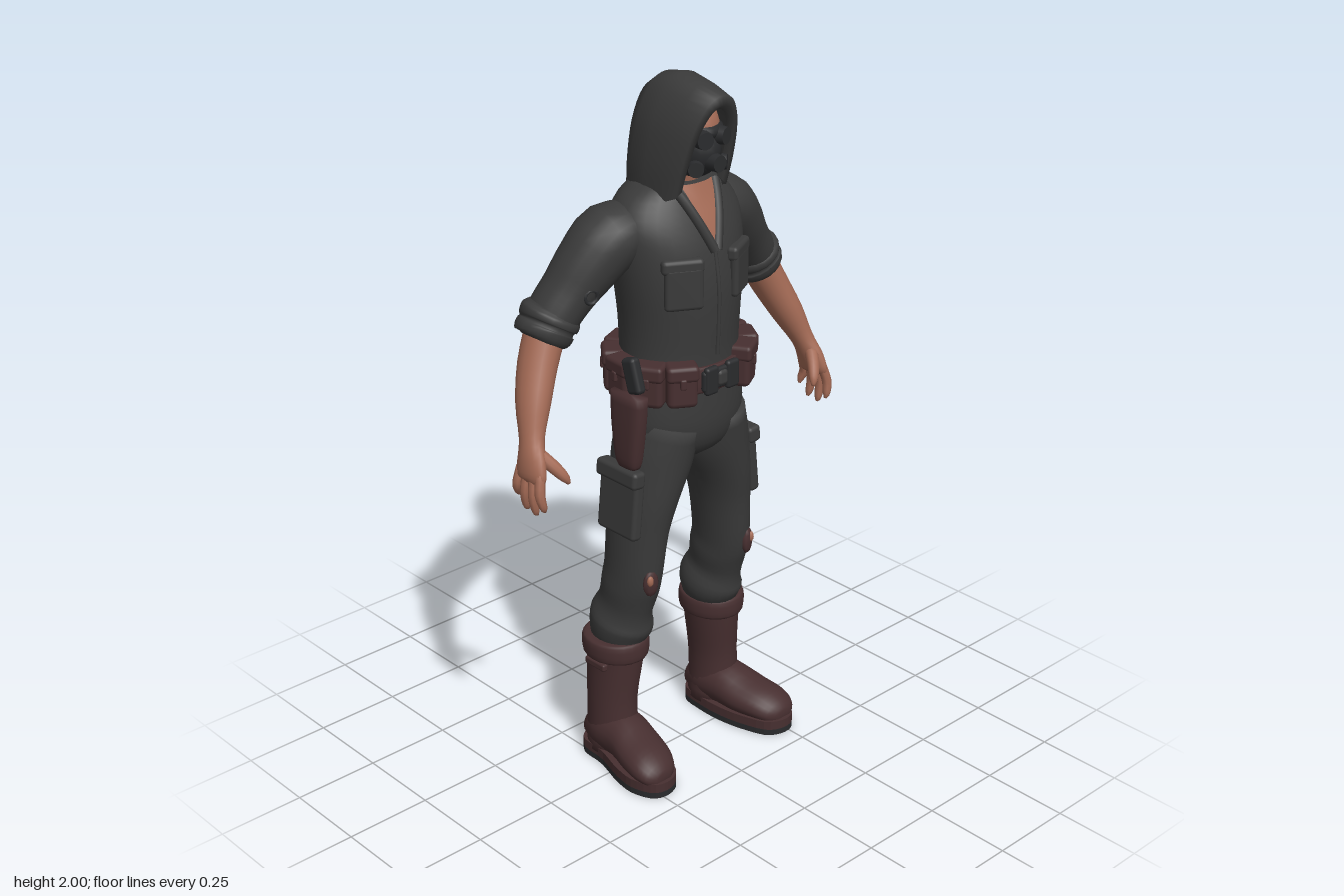
import * as THREE from 'three';
import { RoundedBoxGeometry } from 'three/addons/geometries/RoundedBoxGeometry.js';

const V = (x, y, z) => new THREE.Vector3(x, y, z);
const X = V(1, 0, 0), Y = V(0, 1, 0), Z = V(0, 0, 1);

const mat = (name, color) => new THREE.MeshStandardMaterial({ name, color, side: THREE.DoubleSide });

// Grid of (rows x cols) points to an indexed surface
function grid(rows, cols, fn, wrap = false) {
  const pos = [], idx = [];
  for (let i = 0; i < rows; i++) for (let j = 0; j < cols; j++) pos.push(...fn(i, j).toArray());
  for (let i = 0; i < rows - 1; i++) for (let j = 0; j < (wrap ? cols : cols - 1); j++) {
    const a = i * cols + j, b = i * cols + (j + 1) % cols, c = a + cols, d = b + cols;
    idx.push(a, b, c, b, d, c);
  }
  return { pos, idx };
}
function toGeometry({ pos, idx }) {
  const g = new THREE.BufferGeometry();
  g.setAttribute('position', new THREE.Float32BufferAttribute(pos, 3));
  g.setIndex(idx);
  g.computeVertexNormals();
  return g;
}

// Closed loft through elliptical rings [x, y, z, sideRadius, refRadius]
function loft(rows, { seg = 20, ref = Z, sub = 3, dir = null, p = 1 } = {}) {
  const path = new THREE.CatmullRomCurve3(rows.map(r => V(r[0], r[1], r[2])), false, 'catmullrom');
  const rad = new THREE.CatmullRomCurve3(rows.map(r => V(r[3], r[4], 0)), false, 'catmullrom');
  const n = (rows.length - 1) * sub + 1;
  const rings = Array.from({ length: n }, (_, i) => {
    const s = i / (n - 1), t = dir || path.getTangent(s);
    const v = ref.clone().addScaledVector(t, -ref.dot(t)).normalize();
    return { c: path.getPoint(s), r: rad.getPoint(s), v, u: v.clone().cross(t).normalize() };
  });
  const round = k => Math.sign(k) * Math.abs(k) ** p;
  const g = grid(n, seg, (i, j) => {
    const { c, r, u, v } = rings[i], a = j / seg * Math.PI * 2;
    return c.clone().addScaledVector(u, r.x * round(Math.cos(a))).addScaledVector(v, r.y * round(Math.sin(a)));
  }, true);
  const s0 = n * seg;
  g.pos.push(...rings[0].c.toArray(), ...rings[n - 1].c.toArray());
  for (let j = 0; j < seg; j++) {
    const k = (j + 1) % seg, e = (n - 1) * seg;
    g.idx.push(s0, k, j, s0 + 1, e + j, e + k);
  }
  return toGeometry(g);
}

function mirrored(geo) {
  const g = geo.clone().scale(-1, 1, 1);
  if (!g.index) g.setIndex([...Array(g.attributes.position.count).keys()]);
  const a = g.index.array;
  for (let i = 0; i < a.length; i += 3) [a[i + 1], a[i + 2]] = [a[i + 2], a[i + 1]];
  return g;
}

const box = (w, h, d, r = 0.012) => new RoundedBoxGeometry(w, h, d, 2, Math.min(r, w / 2.1, h / 2.1, d / 2.1));
const tube = (pts, r, n = 16) => new THREE.TubeGeometry(new THREE.CatmullRomCurve3(pts.map(p => V(...p))), n, r, 8);
// Shallow disc lying on a surface at point c, facing direction n
function spot(c, n, w, h, d = 0.012) {
  const g = new THREE.SphereGeometry(1, 9, 6).scale(w, h, d);
  return g.applyQuaternion(new THREE.Quaternion().setFromUnitVectors(Z, V(...n).normalize())).translate(...c);
}

export function createModel() {
  const model = new THREE.Group();
  const cloth = mat('charcoal cloth', 0x3a3a3a), leather = mat('brown leather', 0x472f30);
  const skin = mat('skin', 0xa36a55), dark = mat('black rubber', 0x2a2b2d);
  const add = (name, geo, m) => {
    const mesh = new THREE.Mesh(geo, m);
    mesh.name = name;
    model.add(mesh);
  };
  const both = (name, geo, m) => { add(name + 'Left', geo, m); add(name + 'Right', mirrored(geo), m); };

  // Torso and hips
  const torso = [
    [0, 0.94, -0.01, 0.07, 0.07], [0, 0.98, -0.005, 0.15, 0.115], [0, 1.05, 0, 0.185, 0.135],
    [0, 1.15, -0.005, 0.18, 0.142], [0, 1.25, -0.012, 0.172, 0.147], [0, 1.35, -0.012, 0.175, 0.152],
    [0, 1.45, -0.015, 0.187, 0.155], [0, 1.55, -0.025, 0.2, 0.15], [0, 1.62, -0.035, 0.202, 0.135],
    [0, 1.68, -0.04, 0.165, 0.112], [0, 1.72, -0.035, 0.105, 0.092]];
  add('overallsTorso', loft(torso, { dir: Y, seg: 32 }), cloth);
  const front = (x, y) => {
    const i = Math.max(1, torso.findIndex(r => r[1] >= y)), a = torso[i - 1], b = torso[i];
    const [zc, rx, rz] = [2, 3, 4].map(k => THREE.MathUtils.lerp(a[k], b[k], (y - a[1]) / (b[1] - a[1])));
    return zc + rz * Math.sqrt(Math.max(0, 1 - (x / rx) ** 2));
  };

  // Open neckline, collar and front zip
  add('neck', loft([[0, 1.6, -0.03, 0.06, 0.06], [0, 1.7, -0.02, 0.058, 0.062], [0, 1.8, 0, 0.055, 0.06]]), skin);
  add('openChest', toGeometry(grid(8, 7, (i, j) => {
    const y = 1.56 + i * 0.0226, x = (j / 3 - 1) * (0.003 + i * 0.0075);
    return V(x, y, front(x, y) + 0.008);
  })), skin);
  both('collar', tube([0, 1, 2, 3, 4].map(i => {
    const x = 0.004 + i * 0.0165, y = 1.55 + i * 0.04;
    return [x, y, front(x, y) + 0.004];
  }), 0.014), cloth);
  add('zip', tube([1.26, 1.35, 1.45, 1.55].map(y => [0, y, front(0, y)]), 0.006), cloth);

  // Chest pockets
  both('chestPocket', box(0.105, 0.12, 0.024).rotateY(0.5).translate(0.1, 1.465, front(0.1, 1.465)), cloth);
  both('chestPocketFlap', box(0.115, 0.04, 0.034).rotateY(0.5).translate(0.1, 1.525, front(0.1, 1.52)), cloth);

  // Hood made of arches from the face opening to the nape
  const arch = new THREE.CatmullRomCurve3([V(-1, 0, 0), V(-1, 0.32, 0), V(-0.86, 0.66, 0), V(-0.5, 0.92, 0), V(0, 1, 0),
    V(0.5, 0.92, 0), V(0.86, 0.66, 0), V(1, 0.32, 0), V(1, 0, 0)]);
  const hood = [ // half width, base y, top y, base z, top z
    [0.068, 1.72, 1.925, 0.06, 0.125], [0.072, 1.71, 1.94, 0.076, 0.152], [0.09, 1.695, 1.965, 0.072, 0.15],
    [0.105, 1.68, 1.985, 0.035, 0.085], [0.113, 1.67, 2, -0.03, 0.01], [0.108, 1.67, 1.988, -0.085, -0.06],
    [0.084, 1.68, 1.955, -0.125, -0.107], [0.045, 1.68, 1.89, -0.136, -0.126], [0, 1.68, 1.82, -0.138, -0.132]];
  add('hood', toGeometry(grid(hood.length, 29, (i, j) => {
    const [w, yb, yt, zb, zt] = hood[i], q = arch.getPoint(j / 28);
    return V(q.x * w, yb + (yt - yb) * q.y, zb + (zt - zb) * q.y);
  })), cloth);

  // Head and breathing mask
  add('head', new THREE.SphereGeometry(1, 20, 14).scale(0.075, 0.1, 0.095).translate(0, 1.855, 0.02), skin);
  add('mask', new THREE.SphereGeometry(1, 20, 14).scale(0.064, 0.078, 0.082).translate(0, 1.808, 0.042), dark);
  add('maskBrow', new THREE.SphereGeometry(1, 16, 10).scale(0.07, 0.032, 0.06).translate(0, 1.86, 0.062), dark);
  const can = (r, h) => new THREE.CylinderGeometry(r * 0.85, r, h, 14).rotateX(Math.PI / 2);
  both('goggle', can(0.027, 0.03).rotateY(0.3).translate(0.032, 1.848, 0.113), dark);
  both('maskFilter', can(0.024, 0.04).rotateY(0.7).translate(0.042, 1.772, 0.095), dark);
  add('maskValve', can(0.026, 0.04).translate(0, 1.785, 0.122), dark);

  // Sleeves with rolled cuffs
  both('sleeve', loft([[0.1, 1.6, -0.045, 0.06, 0.08], [0.19, 1.585, -0.065, 0.09, 0.098], [0.255, 1.525, -0.08, 0.087, 0.09],
    [0.31, 1.46, -0.095, 0.074, 0.08], [0.35, 1.41, -0.105, 0.07, 0.077], [0.385, 1.36, -0.11, 0.066, 0.07]]), cloth);
  both('rolledCuff', loft([[0.352, 1.415, -0.108, 0.068, 0.07], [0.36, 1.4, -0.11, 0.082, 0.084], [0.37, 1.383, -0.112, 0.08, 0.084],
    [0.376, 1.373, -0.112, 0.072, 0.078], [0.382, 1.363, -0.112, 0.079, 0.082], [0.392, 1.345, -0.11, 0.075, 0.076], [0.396, 1.338, -0.11, 0.055, 0.058]]), cloth);
  both('shoulderTear', spot([0.288, 1.588, -0.072], [0.78, 0.62, 0], 0.03, 0.03, 0.014), skin);
  add('sleeveTear', new THREE.TorusGeometry(0.018, 0.006, 6, 10).rotateY(-0.3).translate(-0.305, 1.46, -0.014), dark);

  // Forearms and hands
  both('forearm', loft([[0.375, 1.38, -0.11, 0.055, 0.058], [0.425, 1.285, -0.092, 0.05, 0.057], [0.468, 1.195, -0.062, 0.043, 0.05],
    [0.5, 1.115, -0.032, 0.03, 0.037], [0.516, 1.065, -0.015, 0.027, 0.048], [0.524, 1.025, -0.008, 0.022, 0.054], [0.526, 1.01, -0.007, 0.012, 0.045]]), skin);
  [[-0.052, 0.955], [-0.022, 0.925], [0.01, 0.92], [0.038, 0.94]].forEach(([z, tip], i) => both('finger' + (i + 1), loft([
    [0.523, 1.04, z * 0.85 - 0.005, 0.014, 0.014], [0.535, (1.04 + tip) / 2, z, 0.014, 0.014],
    [0.53, tip + 0.015, z * 1.15, 0.011, 0.011], [0.524, tip, z * 1.15, 0.004, 0.004]], { seg: 8 }), skin));
  both('thumb', loft([[0.505, 1.085, 0, 0.018, 0.02], [0.485, 1.055, 0.03, 0.018, 0.018],
    [0.465, 1.025, 0.052, 0.014, 0.014], [0.455, 1.005, 0.06, 0.005, 0.005]], { seg: 10 }), skin);

  // Trouser legs, thigh pockets and knee tears
  both('trouserLeg', loft([[0.085, 1.06, 0, 0.09, 0.13], [0.105, 0.96, -0.007, 0.1, 0.125], [0.137, 0.85, -0.008, 0.084, 0.112],
    [0.156, 0.75, -0.012, 0.075, 0.1], [0.168, 0.62, -0.018, 0.068, 0.096], [0.17, 0.56, -0.032, 0.07, 0.092], [0.173, 0.5, -0.047, 0.066, 0.088],
    [0.173, 0.45, -0.062, 0.083, 0.1], [0.178, 0.405, -0.07, 0.078, 0.09], [0.182, 0.36, -0.07, 0.06, 0.08]], { seg: 24 }), cloth);
  both('thighPocket', box(0.035, 0.18, 0.15).rotateZ(0.1).translate(0.217, 0.84, -0.01), cloth);
  both('thighPocketFlap', box(0.045, 0.05, 0.16).rotateZ(0.1).translate(0.217, 0.93, -0.01), cloth);
  both('kneeTear', spot([0.185, 0.61, 0.073], [0.25, 0, 1], 0.024, 0.04), leather);
  both('kneeSkin', spot([0.193, 0.622, 0.08], [0.25, 0, 1], 0.01, 0.016, 0.008), skin);

  // Boots
  both('bootShaft', loft([[0.187, 0.37, -0.075, 0.08, 0.09], [0.19, 0.3, -0.077, 0.073, 0.086], [0.198, 0.2, -0.08, 0.066, 0.08],
    [0.2, 0.12, -0.078, 0.066, 0.08], [0.2, 0.03, -0.078, 0.07, 0.082]], { dir: V(0, -1, 0), seg: 24 }), leather);
  both('bootCuff', loft([[0.187, 0.398, -0.075, 0.075, 0.085], [0.187, 0.39, -0.075, 0.09, 0.1], [0.187, 0.345, -0.075, 0.089, 0.1],
    [0.187, 0.332, -0.075, 0.075, 0.088]], { dir: V(0, -1, 0), seg: 24 }), leather);
  both('bootStrap', box(0.02, 0.022, 0.08, 0.006).translate(0.264, 0.325, -0.07), leather);
  both('bootFoot', loft([[0.2, 0.07, -0.155, 0.045, 0.045], [0.202, 0.085, -0.09, 0.07, 0.07], [0.206, 0.088, -0.01, 0.072, 0.068],
    [0.218, 0.075, 0.06, 0.077, 0.056], [0.232, 0.067, 0.125, 0.073, 0.046], [0.238, 0.056, 0.165, 0.055, 0.034], [0.24, 0.05, 0.183, 0.025, 0.018]],
    { ref: Y, dir: Z }), leather);
  const outline = new THREE.Shape().setFromPoints(new THREE.CatmullRomCurve3([[0.2, -0.167], [0.26, -0.14], [0.27, -0.05], [0.297, 0.05], [0.302, 0.12],
    [0.275, 0.182], [0.235, 0.195], [0.185, 0.175], [0.152, 0.1], [0.135, 0.02], [0.133, -0.07], [0.145, -0.14]].map(p => V(p[0], -p[1], 0)), true).getPoints(40));
  const slab = (y, h) => new THREE.ExtrudeGeometry(outline, { depth: h, bevelEnabled: false }).rotateX(-Math.PI / 2).translate(0, y, 0);
  both('bootWelt', slab(0.018, 0.027), leather);
  both('bootSole', slab(0, 0.018), dark);

  // Belt with buckle and a ring of pouches
  add('belt', loft([[0, 1.165, -0.008, 0.18, 0.148], [0, 1.17, -0.008, 0.19, 0.158], [0, 1.23, -0.01, 0.186, 0.158],
    [0, 1.235, -0.01, 0.175, 0.148]], { dir: Y, seg: 32 }), leather);
  add('buckleStrap', box(0.13, 0.06, 0.02).translate(0, 1.2, 0.148), dark);
  both('buckle', box(0.045, 0.08, 0.02).translate(0.038, 1.2, 0.153), dark);
  add('buckleClasp', box(0.036, 0.045, 0.024).translate(0, 1.2, 0.153), cloth);
  const pouch = (name, deg, m) => {
    const a = THREE.MathUtils.degToRad(deg), s = Math.sin(a), c = Math.cos(a);
    const yaw = Math.atan2(s / 0.19, c / 0.158);
    const place = (g, y) => g.rotateY(yaw).translate(0.193 * s, y, 0.158 * c - 0.009);
    m(name, place(box(0.083, 0.105, 0.056, 0.016), 1.192), leather);
    m(name + 'Flap', place(box(0.088, 0.045, 0.066, 0.012), 1.237), leather);
    m(name + 'Stud', place(box(0.018, 0.03, 0.073, 0.005), 1.212), leather);
  };
  [36, 64, 94, 124, 152].forEach((d, i) => pouch('pouch' + (i + 1), d, both));
  pouch('backPouch', 180, add);

  // Holster and sidearm grip on the right hip
  add('holster', loft([[-0.222, 1.18, 0.035, 0.026, 0.06], [-0.225, 1.1, 0.035, 0.026, 0.056], [-0.226, 1.0, 0.035, 0.024, 0.042],
    [-0.225, 0.97, 0.035, 0.018, 0.034]], { p: 0.6 }), leather);
  add('sidearmGrip', box(0.032, 0.1, 0.05).rotateX(-0.3).translate(-0.22, 1.235, 0.05), dark);
  return model;
}
